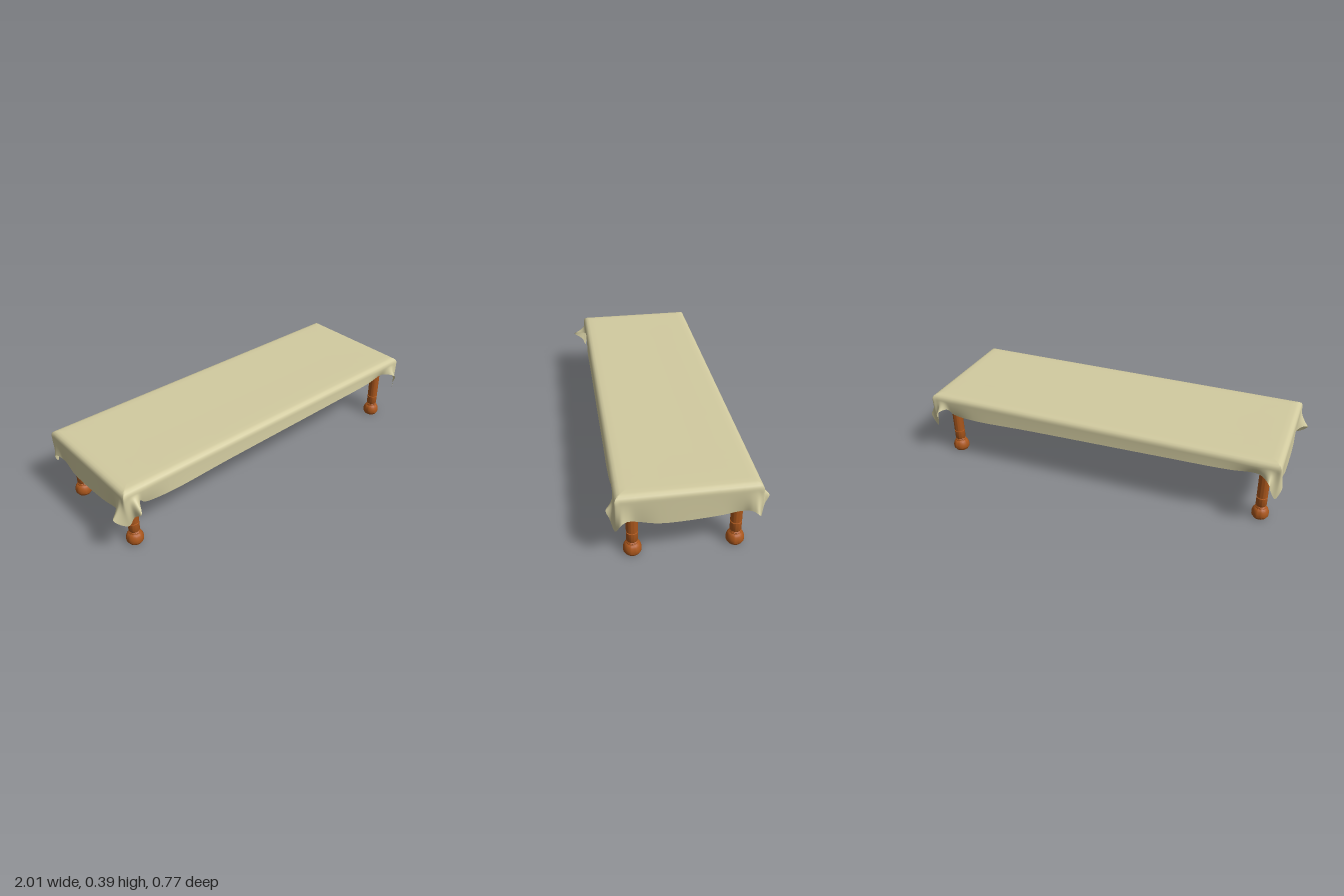
import * as THREE from 'three';
import { toCreasedNormals, mergeVertices } from 'three/addons/utils/BufferGeometryUtils.js';

const CX = 0.008, CZ = -0.015;   // centre of the table top
const HX = 0.962, HZ = 0.332;    // half size of the covered top
const TOP = 0.386;

// Keys for one corner, from the long side to the short side.
// Each key: distance in from the corner along x and z, then hem outward x, outward z, hem height.
function cornerKeys(sx, sz, earZ, earX) {
  const twist = sx * sz;
  const long = 0.287 + 0.018 * twist, end = 0.228 - 0.005 * twist;
  return [
    [0.6, 0, 0, 0.002, 0.289 + 0.008 * twist],
    [0.25, 0, 0, 0.0, long],
    [0.12, 0, 0, -0.012, long + 0.004],
    [0.085, 0, 0.0, 0.0, 0.305],
    [0.05, 0, 0.005, earZ, 0.29],
    [0.025, 0, -0.012, 0.02, 0.245],
    [0.0, 0.0, -0.012, 0.0, 0.192],
    [0, 0.025, earX, 0.0, 0.245],
    [0, 0.05, earX * 0.5, 0.0, 0.255],
    [0, 0.09, -0.008, 0, 0.24],
    [0, 0.2, 0, 0, end],
  ].map(([u, w, ox, oz, y]) => ({
    edge: new THREE.Vector3(sx * (HX - u), 0.355, sz * (HZ - w)),
    hem: new THREE.Vector3(sx * (HX - u + ox), y, sz * (HZ - w + oz)),
  }));
}

// Cloth: closed rings running from the middle of the top, over the edge, to the hem
function clothGeometry() {
  const keys = [
    ...cornerKeys(1, 1, 0.035, 0.016),
    ...cornerKeys(1, -1, 0.04, 0.04).reverse(),
    ...cornerKeys(-1, -1, 0.038, 0.012),
    ...cornerKeys(-1, 1, 0.07, 0.05).reverse(),
  ];
  const edge = new THREE.CatmullRomCurve3(keys.map(k => k.edge), true);
  const hem = new THREE.CatmullRomCurve3(keys.map(k => k.hem), true);
  const N = keys.length * 6;
  const roll = [[HZ, TOP], [0.2, TOP], [0.06, TOP + 0.001], [0.03, TOP], [0.016, 0.383], [0.006, 0.375], [0.001, 0.365]];
  const drops = 12, rows = roll.length + drops + 1;
  const pos = [], index = [];
  const clamp = THREE.MathUtils.clamp;
  for (let r = 0; r < rows; r++) {
    for (let i = 0; i < N; i++) {
      const e = edge.getPoint(i / N);
      if (r < roll.length) {
        const [d, y] = roll[r];
        e.set(clamp(e.x, d - HX, HX - d), y, clamp(e.z, d - HZ, HZ - d));
      } else {
        const v = (r - roll.length) / drops, h = hem.getPoint(i / N);
        const k = v ** 1.7;          // folds open towards the hem
        e.set(e.x + (h.x - e.x) * k, e.y + (h.y - e.y) * v, e.z + (h.z - e.z) * k);
      }
      pos.push(e.x + CX, e.y, e.z + CZ);
    }
  }
  for (let r = 0; r < rows - 1; r++) {
    for (let i = 0; i < N; i++) {
      const a = r * N + i, b = r * N + (i + 1) % N, c = a + N, d = b + N;
      index.push(a, c, b, b, c, d);
    }
  }
  let g = new THREE.BufferGeometry();
  g.setAttribute('position', new THREE.Float32BufferAttribute(pos, 3));
  g.setIndex(index);
  g = mergeVertices(g, 1e-5);
  g.computeVertexNormals();
  return g;
}

// Turned leg with a bulbous foot
function legGeometry() {
  const profile = [
    [0, 0], [0.035, 0], [0.04, 0.011], [0.043, 0.013], [0.044, 0.024], [0.043, 0.034], [0.039, 0.046],
    [0.034, 0.054], [0.027, 0.058], [0.027, 0.061], [0.025, 0.063], [0.028, 0.067], [0.025, 0.071],
    [0.026, 0.075], [0.028, 0.078], [0.028, 0.121], [0.024, 0.122], [0.024, 0.126], [0.028, 0.127], [0.028, 0.36],
  ].map(([r, y]) => new THREE.Vector2(r, y));
  return toCreasedNormals(new THREE.LatheGeometry(profile, 32), 0.6);
}

export function createModel() {
  const table = new THREE.Group();
  table.name = 'table';
  const wood = new THREE.MeshStandardMaterial({ color: 0xa9561c });
  const linen = new THREE.MeshStandardMaterial({ color: 0xd2cba0, side: THREE.DoubleSide });

  const add = (name, geometry, material, x, y, z) => {
    const mesh = new THREE.Mesh(geometry, material);
    mesh.name = name;
    mesh.position.set(x, y, z);
    table.add(mesh);
  };

  add('tablecloth', clothGeometry(), linen, 0, 0, 0);
  add('tableTop', new THREE.BoxGeometry(1.88, 0.035, 0.62), wood, CX, 0.3575, CZ);

  const leg = legGeometry();
  for (const sx of [-1, 1]) {
    for (const sz of [-1, 1]) {
      const name = (sz > 0 ? 'front' : 'back') + (sx > 0 ? 'Left' : 'Right') + 'Leg';
      add(name, leg, wood, 0.008 + sx * 0.878, 0, -0.01 + sz * 0.244);
    }
  }
  return table;
}
